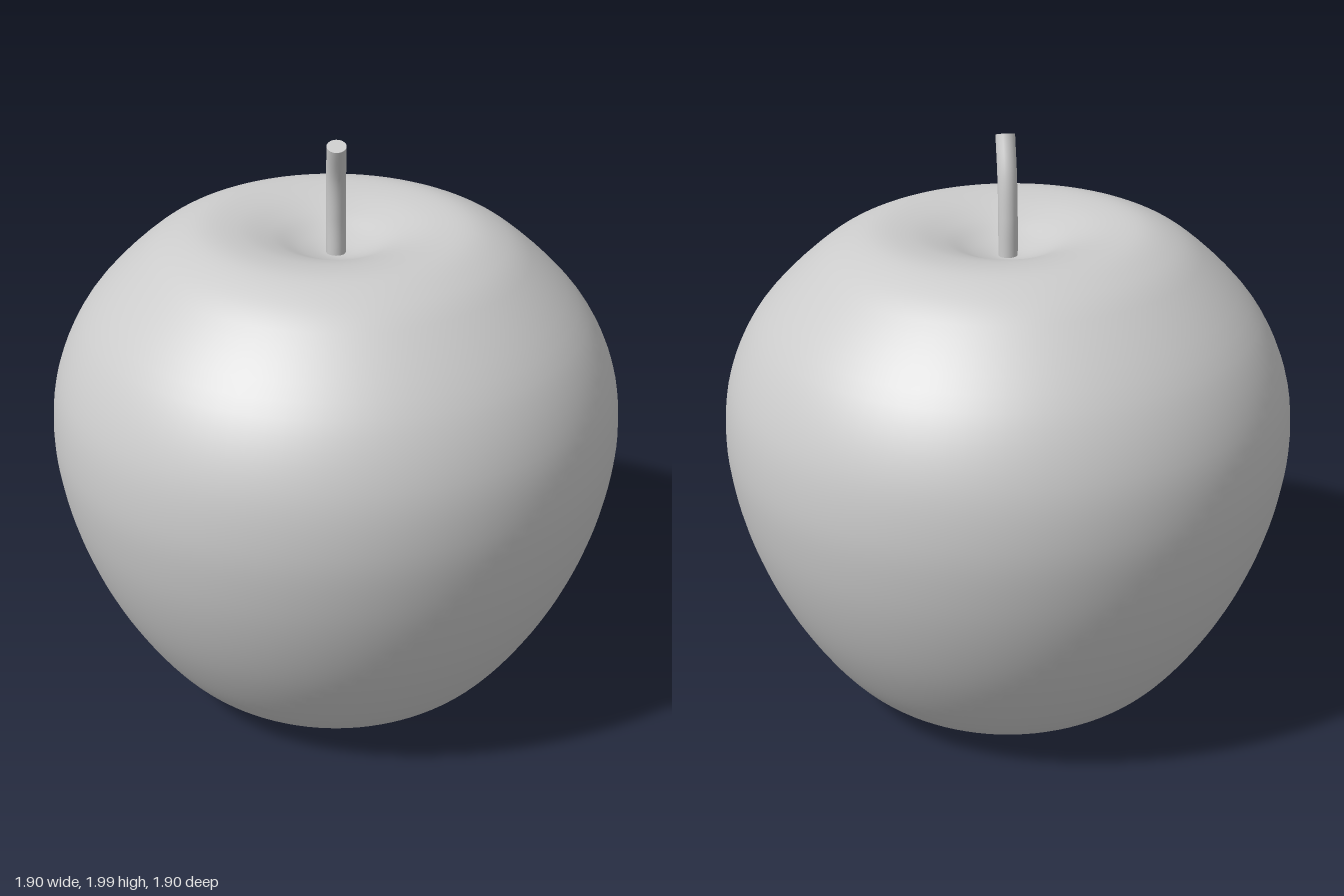
import * as THREE from 'three';

const material = new THREE.MeshStandardMaterial({ color: 0xcccccc });

// Body: a smooth profile turned round y, with a hollow below and a dip for the stem
function makeBody() {
  const profile = [
    [0, 0.06], [0.12, 0.045], [0.24, 0.012], [0.34, 0.001], [0.44, 0.028], [0.555, 0.1],
    [0.65, 0.2], [0.78, 0.4], [0.87, 0.6], [0.927, 0.8], [0.95, 1.0], [0.925, 1.2],
    [0.83, 1.4], [0.635, 1.6], [0.54, 1.66], [0.44, 1.691], [0.32, 1.685], [0.21, 1.655],
    [0.12, 1.617], [0.05, 1.597], [0, 1.593],
  ].map(([r, y]) => new THREE.Vector3(r, y, 0));
  const points = new THREE.CatmullRomCurve3(profile).getPoints(100)
    .map((p) => new THREE.Vector2(Math.max(p.x, 0), Math.max(p.y, 0)));
  const geometry = new THREE.LatheGeometry(points, 96);

  // Tilt the crown very slightly towards the front
  const pos = geometry.attributes.position;
  for (let i = 0; i < pos.count; i++) {
    const y = pos.getY(i);
    const crown = THREE.MathUtils.smoothstep(y, 1.2, 1.65);
    pos.setY(i, y - 0.012 * crown * pos.getZ(i));
  }
  const body = new THREE.Mesh(geometry, material);
  body.name = 'fruitBody';
  return body;
}

// Stem: a bent tube closed with a flat disc at each end
function makeStem() {
  const stem = new THREE.Group();
  stem.name = 'stem';
  const radius = 0.032;
  const path = new THREE.CatmullRomCurve3([
    new THREE.Vector3(0, 1.59, 0),
    new THREE.Vector3(-0.003, 1.72, 0.002),
    new THREE.Vector3(-0.018, 1.86, 0.014),
    new THREE.Vector3(-0.055, 1.982, 0.043),
  ]);
  const stalk = new THREE.Mesh(new THREE.TubeGeometry(path, 24, radius, 20), material);
  stalk.name = 'stalk';
  stem.add(stalk);

  for (const [t, sign, name] of [[0, -1, 'stalkBase'], [1, 1, 'stalkTip']]) {
    const cap = new THREE.Mesh(new THREE.CircleGeometry(radius, 20), material);
    const outward = path.getTangentAt(t).multiplyScalar(sign);
    cap.position.copy(path.getPointAt(t));
    cap.quaternion.setFromUnitVectors(new THREE.Vector3(0, 0, 1), outward);
    cap.name = name;
    stem.add(cap);
  }
  return stem;
}

export function createModel() {
  const apple = new THREE.Group();
  apple.name = 'apple';
  apple.add(makeBody(), makeStem());
  return apple;
}
